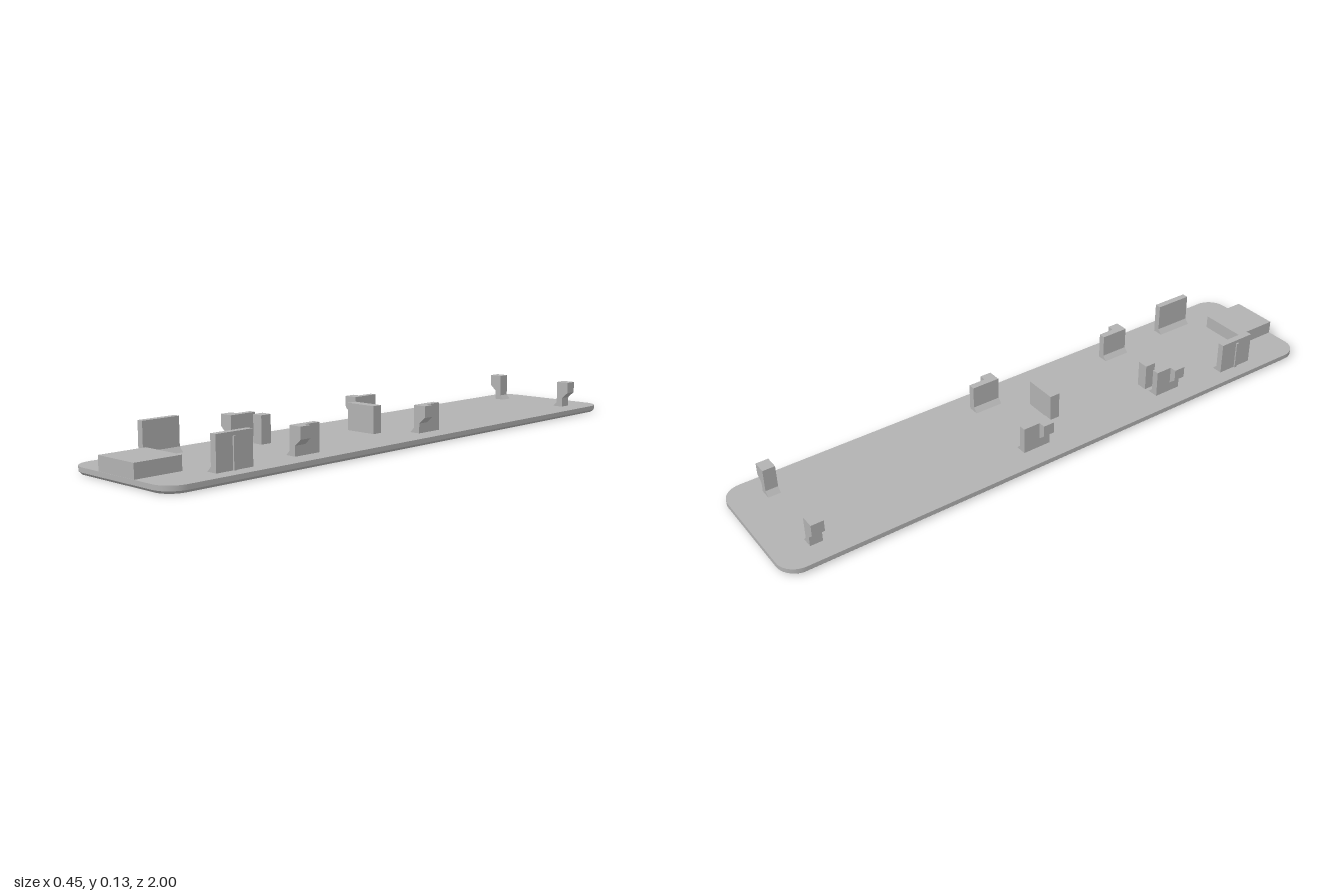
import * as THREE from 'three';
import { toCreasedNormals } from 'three/addons/utils/BufferGeometryUtils.js';

const HALF_W = 0.224, HALF_L = 1, RADIUS = 0.065, TOP = 0.023;

// Rounded rectangle outline, inset evenly, running from +x towards +z
function outline(inset, steps = 10) {
  const points = [];
  const cx = HALF_W - RADIUS, cz = HALF_L - RADIUS, r = RADIUS - inset;
  [[1, 1], [-1, 1], [-1, -1], [1, -1]].forEach(([sx, sz], q) => {
    for (let i = 0; i <= steps; i++) {
      const a = (q + i / steps) * Math.PI / 2;
      points.push([sx * cx + r * Math.cos(a), sz * cz + r * Math.sin(a)]);
    }
  });
  return points;
}

// Plate with a chamfered lower edge, lofted through three rings and capped
function plateGeometry() {
  const rings = [[0, 0.008], [0.008, 0], [TOP, 0]];
  const positions = [], index = [];
  let n = 0;
  for (const [y, inset] of rings) {
    const ring = outline(inset);
    n = ring.length;
    for (const [x, z] of ring) positions.push(x, y, z);
  }
  for (let k = 0; k < rings.length - 1; k++) {
    for (let i = 0; i < n; i++) {
      const j = (i + 1) % n, a = k * n + i, b = k * n + j;
      index.push(a, a + n, b, b, a + n, b + n);
    }
  }
  const last = (rings.length - 1) * n;
  for (let i = 1; i < n - 1; i++) {
    index.push(0, i, i + 1);
    index.push(last, last + i + 1, last + i);
  }
  const geometry = new THREE.BufferGeometry();
  geometry.setAttribute('position', new THREE.Float32BufferAttribute(positions, 3));
  geometry.setIndex(index);
  return toCreasedNormals(geometry, 0.5);
}

// Extrude an x-y profile from z0 to z1, on the side given by s (+1 or -1)
function profileGeometry(points, s, z0, z1) {
  const shape = new THREE.Shape(points.map(([x, y]) => new THREE.Vector2(s * x, y)));
  const geometry = new THREE.ExtrudeGeometry(shape, { depth: z1 - z0, bevelEnabled: false });
  return geometry.translate(0, 0, z0);
}

export function createModel() {
  const model = new THREE.Group();
  model.name = 'clipOnCover';
  const grey = new THREE.MeshStandardMaterial({ color: 0xb2b2b2 });
  grey.name = 'grey plastic';

  const add = (name, geometry, parent = model) => {
    const mesh = new THREE.Mesh(geometry, grey);
    mesh.name = name;
    parent.add(mesh);
  };
  const box = (name, x0, x1, y0, y1, z0, z1, parent) => add(name,
    new THREE.BoxGeometry(x1 - x0, y1 - y0, z1 - z0)
      .translate((x0 + x1) / 2, (y0 + y1) / 2, (z0 + z1) / 2), parent);

  add('plate', plateGeometry());

  // Upright blocks standing on the plate
  box('endBlock', -0.082, 0.08, TOP, 0.068, 0.842, 0.999);
  box('crossWall', -0.057, 0.056, TOP, 0.113, 0.027, 0.062);
  box('smallPost', -0.1, -0.063, TOP, 0.113, 0.393, 0.431);

  // Mirrored clips: wall with a sloped foot inside and a hook outside
  const clips = [
    { name: 'frontClip', z0: 0.397, z1: 0.494, hook: 0.454 },
    { name: 'middleClip', z0: -0.146, z1: -0.048, hook: -0.087 },
    { name: 'backClip', z0: -0.89, z1: -0.849, hook: -0.89 },
  ];
  for (const [side, s] of [['left', 1], ['right', -1]]) {
    for (const c of clips) {
      const clip = new THREE.Group();
      clip.name = `${side} ${c.name}`;
      model.add(clip);
      add('clipWall', profileGeometry(
        [[0.115, TOP], [0.153, TOP], [0.153, 0.113], [0.13, 0.113], [0.13, 0.038]], s, c.z0, c.z1), clip);
      add('clipHook', profileGeometry(
        [[0.153, 0.055], [0.176, 0.075], [0.176, 0.113], [0.153, 0.113]], s, c.hook, c.z1), clip);
    }
    // Tall guide with a thin outer rib
    const guide = new THREE.Group();
    guide.name = `${side} tallGuide`;
    model.add(guide);
    add('guideWall', profileGeometry(
      [[0.137, TOP], [0.174, TOP], [0.174, 0.13], [0.152, 0.13], [0.152, 0.039]], s, 0.671, 0.802), guide);
    const [x0, x1] = s > 0 ? [0.174, 0.179] : [-0.179, -0.174];
    box('guideRib', x0, x1, TOP, 0.118, 0.733, 0.743, guide);
  }
  return model;
}
